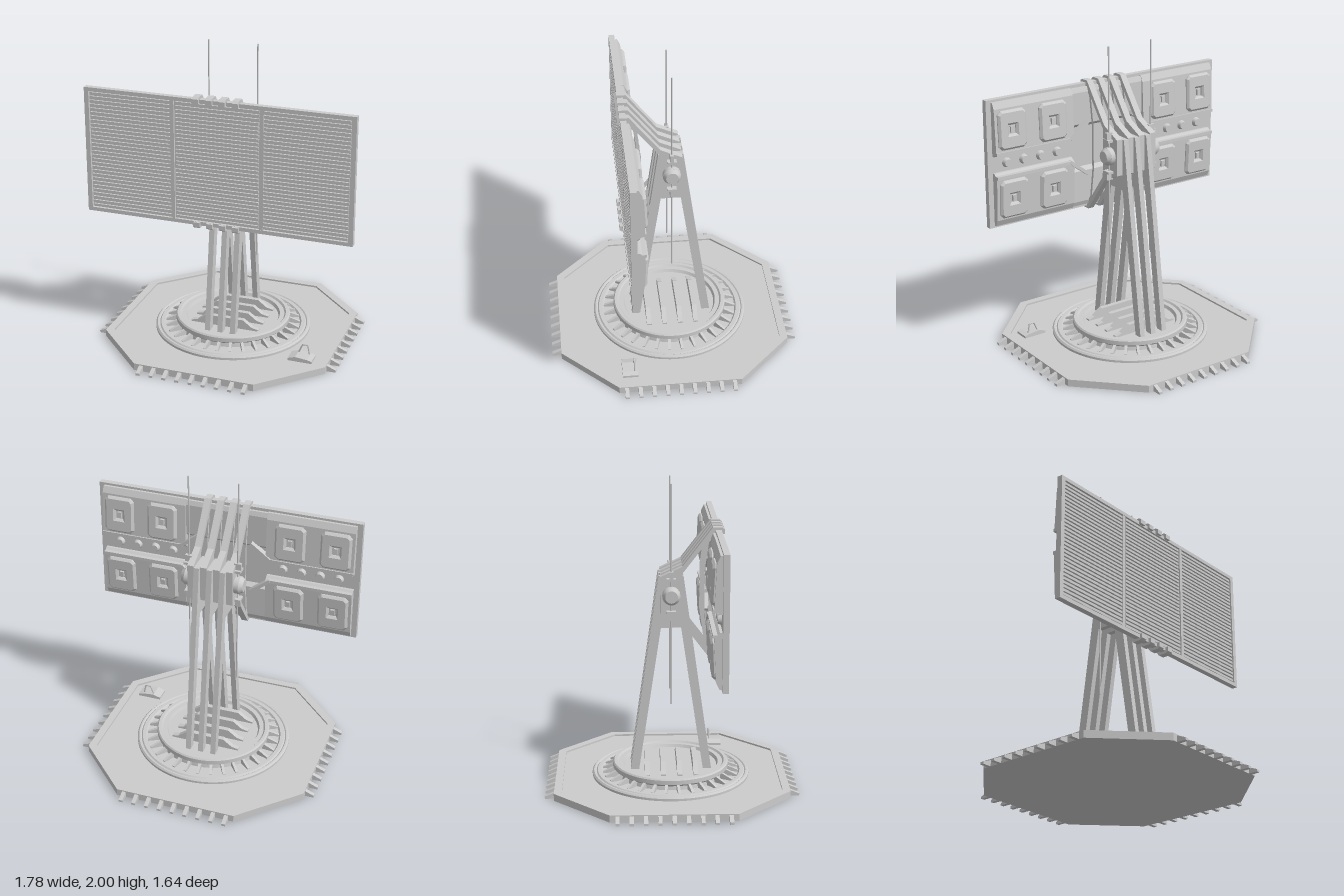
import * as THREE from 'three';
import { toCreasedNormals } from 'three/addons/utils/BufferGeometryUtils.js';

const material = new THREE.MeshStandardMaterial({ color: 0xcccccc });
const CY = 1.285; // height of the pivot and of the panel centre

function add(parent, name, geometry, x = 0, y = 0, z = 0) {
  const mesh = new THREE.Mesh(geometry, material);
  mesh.name = name;
  mesh.position.set(x, y, z);
  parent.add(mesh);
  return mesh;
}
const box = (parent, name, w, h, d, x, y, z) => add(parent, name, new THREE.BoxGeometry(w, h, d), x, y, z);
const shapeOf = (pts) => new THREE.Shape(pts.map(([a, b]) => new THREE.Vector2(a, b)));

// Side profile given as (z, y), extruded to a width centred on x
function sidePlate(pts, width, hole) {
  const shape = shapeOf(pts);
  if (hole) shape.holes.push(shapeOf(hole));
  return new THREE.ExtrudeGeometry(shape, { depth: width, bevelEnabled: false })
    .rotateY(-Math.PI / 2).translate(width / 2, 0, 0);
}
const axle = (r1, r2, len, n = 24) => new THREE.CylinderGeometry(r1, r2, len, n).rotateZ(-Math.PI / 2);

// Points of one half followed by their mirror below v = 0, raised to the pivot
const mirrorY = (half) => [...half, ...half.map(([z, v]) => [z, -v]).reverse()].map(([z, v]) => [z, v + CY]);

function buildBase() {
  const g = new THREE.Group();
  g.name = 'base';
  const octagon = (r, c) => [[r, c], [c, r], [-c, r], [-r, c], [-r, -c], [-c, -r], [c, -r], [r, -c]];
  const flat = (shape, depth) => new THREE.ExtrudeGeometry(shape, { depth, bevelEnabled: false }).rotateX(-Math.PI / 2);
  add(g, 'basePlate', flat(shapeOf(octagon(0.76, 0.4)), 0.035));
  const rim = shapeOf(octagon(0.76, 0.4));
  rim.holes.push(shapeOf(octagon(0.71, 0.375)));
  add(g, 'baseRim', flat(rim, 0.012), 0, 0.035, 0);

  // Wedge teeth along the four straight edges
  const tooth = sidePlate([[0.75, 0], [0.82, 0], [0.82, 0.015], [0.76, 0.04], [0.75, 0.04]], 0.026);
  for (let side = 0; side < 4; side++) {
    const row = new THREE.Group();
    row.name = 'edgeTeeth';
    row.rotation.y = side * Math.PI / 2;
    for (let i = -4; i <= 4; i++) add(row, 'edgeTooth', tooth, i * 0.088, 0, 0);
    g.add(row);
  }

  // Turntable
  const profile = [[0.52, 0.03], [0.52, 0.05], [0.51, 0.06], [0.5, 0.06], [0.493, 0.054], [0.485, 0.062],
    [0.46, 0.062], [0.45, 0.05], [0.37, 0.05], [0.365, 0.075], [0.383, 0.09], [0.383, 0.118], [0.375, 0.127],
    [0.355, 0.127], [0.345, 0.115], [0.315, 0.115], [0.305, 0.095], [0, 0.095]];
  const lathe = new THREE.LatheGeometry(profile.map(([r, y]) => new THREE.Vector2(r, y)), 72);
  add(g, 'turntable', toCreasedNormals(lathe, 0.4));
  const rib = sidePlate([[0.36, 0.045], [0.452, 0.045], [0.452, 0.06], [0.38, 0.09], [0.36, 0.09]], 0.018);
  for (let i = 0; i < 32; i++) add(g, 'turntableRib', rib).rotation.y = (i + 0.5) * Math.PI / 16;

  // Floor cross bars with sloping ends
  const bar = new THREE.ExtrudeGeometry(
    shapeOf([[-0.235, 0.09], [0.235, 0.09], [0.235, 0.105], [0.19, 0.115], [0.13, 0.16], [-0.13, 0.16], [-0.19, 0.115], [-0.235, 0.105]]),
    { depth: 0.032, bevelEnabled: false }).translate(0, 0, -0.016);
  for (const z of [-0.158, -0.053, 0.053, 0.158]) add(g, 'crossBar', bar, 0, 0, z);

  // Small pedal with a wire handle
  const pedal = shapeOf([[0.5, 0.035], [0.66, 0.035], [0.66, 0.05], [0.63, 0.058], [0.55, 0.066], [0.5, 0.05]]);
  add(g, 'pedal', new THREE.ExtrudeGeometry(pedal, { depth: 0.1, bevelEnabled: false }), 0, 0, 0.27);
  const path = new THREE.CurvePath();
  const p = [[0.55, 0.055], [0.578, 0.122], [0.612, 0.122], [0.625, 0.055]].map(([x, y]) => new THREE.Vector3(x, y, 0.29));
  for (let i = 0; i < 3; i++) path.add(new THREE.LineCurve3(p[i], p[i + 1]));
  add(g, 'pedalHandle', new THREE.TubeGeometry(path, 30, 0.005, 8));
  return g;
}

function buildTower() {
  const g = new THREE.Group();
  g.name = 'tower';
  // Three A-frames
  const frame = sidePlate([[-0.265, 0.095], [-0.21, 0.095], [-0.065, 1.06], [0.065, 1.06], [0.21, 0.095],
    [0.265, 0.095], [0.08, 1.4], [-0.08, 1.4]], 0.035);
  for (const x of [-0.087, 0, 0.087]) add(g, 'legFrame', frame, x, 0, 0);

  // Four looped arms which hold the panel by hooks
  const outline = mirrorY([[-0.07, 0.12], [0.07, 0.185], [0.262, 0.437], [0.32, 0.437], [0.337, 0.425],
    [0.337, 0.395], [0.318, 0.395], [0.318, 0.418], [0.285, 0.418], [0.285, 0.39], [0.238, 0.345], [0.21, 0.15]]);
  const opening = mirrorY([[0.07, 0.14], [0.218, 0.333], [0.192, 0.15]]);
  const arm = sidePlate(outline, 0.043, opening);
  for (let i = 0; i < 4; i++) add(g, 'panelArm', arm, -0.13 + i * 0.0867, 0, 0);

  // Pivot with caps, and the two antennas
  add(g, 'pivotAxle', axle(0.045, 0.045, 0.36), 0, CY, 0);
  for (const s of [-1, 1]) {
    const side = new THREE.Group();
    side.name = s > 0 ? 'leftPivot' : 'rightPivot';
    g.add(side);
    add(side, 'pivotCollar', axle(0.058, 0.058, 0.035), s * 0.165, CY, 0);
    add(side, 'pivotCap', axle(s > 0 ? 0.04 : 0.058, s > 0 ? 0.058 : 0.04, 0.026), s * 0.195, CY, 0);
    add(side, 'antenna', new THREE.CylinderGeometry(0.005, 0.005, 1.435, 8), s * 0.163, 1.2825, 0);
    for (const v of [-1, 1]) {
      box(side, 'antennaMount', 0.06, 0.016, 0.06, s * 0.16, CY + v * 0.105, 0);
      box(side, 'antennaStem', 0.045, 0.05, 0.024, s * 0.165, CY + v * 0.132, 0);
    }
  }
  return g;
}

function buildPanel() {
  const g = new THREE.Group();
  g.name = 'panel';
  box(g, 'backing', 1.77, 0.83, 0.02, 0, CY, 0.288);
  // Front frame, dividers and slats
  for (const s of [-1, 1]) {
    box(g, 'frameRail', 1.78, 0.025, 0.038, 0, CY + s * 0.4075, 0.297);
    box(g, 'frameSide', 0.03, 0.84, 0.038, s * 0.875, CY, 0.297);
    box(g, 'divider', 0.025, 0.8, 0.026, s * 0.295, CY, 0.3);
  }
  const slat = new THREE.BoxGeometry(0.55, 0.016, 0.016);
  for (let i = 0; i < 30; i++)
    for (const x of [-0.58, 0, 0.58]) add(g, 'slat', slat, x, CY + (i - 14.5) * 0.0262, 0.302);

  // Back: sloped shells above and below a sunken band
  const rr = 0.095, hh = 0.12, c = 0.02;
  const pad = shapeOf([[-rr + c, -hh], [rr - c, -hh], [rr, -hh + c], [rr, hh - c], [rr - c, hh], [-rr + c, hh], [-rr, hh - c], [-rr, -hh + c]]);
  pad.holes.push(shapeOf([[-0.032, -0.035], [0.032, -0.035], [0.032, 0.035], [-0.032, 0.035]]));
  const padGeometry = new THREE.ExtrudeGeometry(pad, { depth: 0.008, bevelThickness: 0.014, bevelSize: 0.014, bevelOffset: -0.008, bevelSegments: 1 });
  const bolt = new THREE.CylinderGeometry(0.024, 0.033, 0.028, 16).rotateX(-Math.PI / 2);
  for (const v of [-1, 1]) {
    const shell = sidePlate([[0.285, 0.405], [0.262, 0.405], [0.242, 0.365], [0.228, 0.085], [0.262, 0.055], [0.285, 0.055]]
      .map(([z, y]) => [z, v * y]), 0.58);
    const inner = sidePlate([[0.285, 0.4], [0.262, 0.4], [0.25, 0.37], [0.25, 0.16], [0.285, 0.13]]
      .map(([z, y]) => [z, v * y]), 0.56);
    add(g, 'centreShell', inner, 0, CY, 0);
    for (const s of [-1, 1]) {
      add(g, 'backShell', shell, s * 0.565, CY, 0);
      // Ridge which flares from the band toward the arms
      box(g, 'bandRidge', 0.56, 0.02, 0.03, s * 0.575, CY + v * 0.078, 0.235);
      const flare = box(g, 'flareRidge', 0.17, 0.022, 0.04, s * 0.24, CY + v * 0.127, 0.238);
      flare.rotation.z = -s * v * 0.65;
      for (const x of [0.435, 0.735]) {
        const unit = new THREE.Group();
        unit.name = 'backPad';
        unit.position.set(s * x, CY + v * 0.226, 0.235);
        unit.rotation.set(v * 0.05, Math.PI, 0);
        add(unit, 'padFrame', padGeometry);
        box(unit, 'padKnob', 0.026, 0.04, 0.02, 0, 0, 0.005);
        g.add(unit);
      }
    }
  }
  for (const s of [-1, 1])
    for (let i = 0; i < 4; i++) add(g, 'bandBolt', bolt, s * (0.38 + i * 0.125), CY, 0.267);
  return g;
}

export function createModel() {
  const model = new THREE.Group();
  model.name = 'radarStation';
  model.add(buildBase(), buildTower(), buildPanel());
  return model;
}
